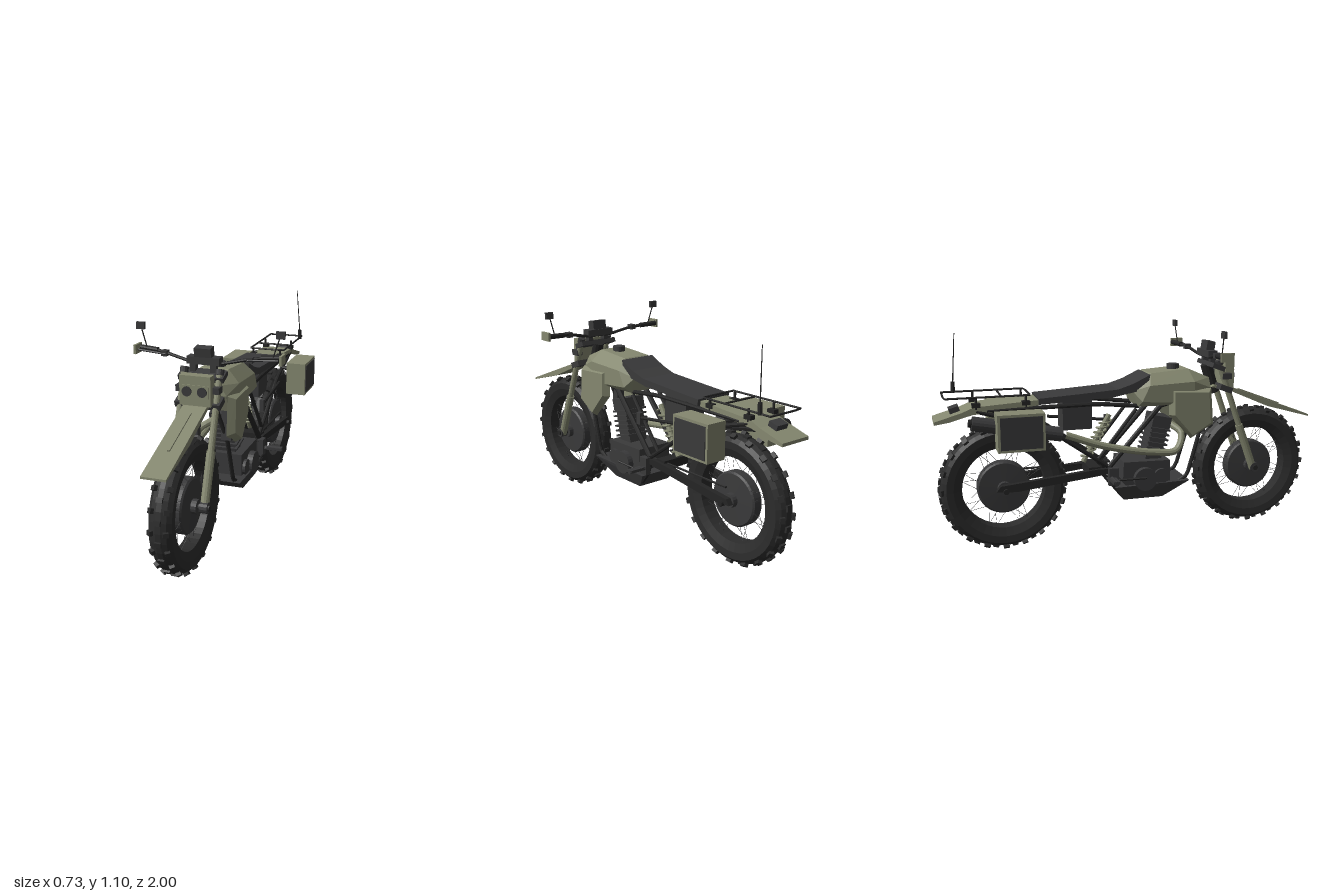
import * as THREE from 'three';
import { ConvexGeometry } from 'three/addons/geometries/ConvexGeometry.js';

const mat = (color) => new THREE.MeshStandardMaterial({ color, flatShading: true });
const olive = mat(0x858870), dark = mat(0x3a3a3b), black = mat(0x252525), rubber = mat(0x2c2c2c);
const V = (p) => new THREE.Vector3(...p);

export function createModel() {
  const model = new THREE.Group();
  model.name = 'motorcycle';

  const add = (name, geo, m, parent = model) => {
    const mesh = new THREE.Mesh(geo, m);
    mesh.name = name;
    parent.add(mesh);
    return mesh;
  };
  const box = (name, size, pos, m, tilt = 0, parent = model) => {
    const b = add(name, new THREE.BoxGeometry(...size), m, parent);
    b.position.set(...pos);
    b.rotation.x = tilt;
    return b;
  };
  // straight round bar between two points, optionally tapered
  const rod = (name, a, b, r, m, sides = 8, r2 = r, parent = model) => {
    const p = V(a), q = V(b), d = q.clone().sub(p);
    const c = add(name, new THREE.CylinderGeometry(r2, r, d.length(), sides), m, parent);
    c.position.copy(p).lerp(q, 0.5);
    c.quaternion.setFromUnitVectors(new THREE.Vector3(0, 1, 0), d.normalize());
    return c;
  };
  // chain of bars through a list of points
  const pipe = (name, pts, r, m) => {
    const path = new THREE.CurvePath();
    pts.slice(1).forEach((p, i) => path.add(new THREE.LineCurve3(V(pts[i]), V(p))));
    return add(name, new THREE.TubeGeometry(path, (pts.length - 1) * 6, r, 8), m);
  };
  // side outline given as [z, y], spread from x0 to x1
  const slab = (name, outline, x0, x1, m) => {
    const g = new THREE.ExtrudeGeometry(new THREE.Shape(outline.map((p) => new THREE.Vector2(...p))),
      { depth: x1 - x0, bevelEnabled: false });
    g.rotateY(-Math.PI / 2).translate(x1, 0, 0);
    return add(name, g, m);
  };
  // convex body from [half width, y, z] points mirrored in x
  const hull = (name, pts, m) =>
    add(name, new ConvexGeometry(pts.flatMap(([x, y, z]) => [V([x, y, z]), V([-x, y, z])])), m);
  const bothSides = (fn) => [1, -1].forEach(fn);

  // Wheels: tyre, knobs, rim, spokes, hub disc
  function wheel(name, y, z, knobs, knobSize) {
    const w = new THREE.Group();
    w.name = name;
    w.position.set(0, y, z);
    const half = [[0.208, -0.036], [0.25, -0.052], [0.285, -0.054], [0.303, -0.036], [0.312, -0.012]];
    const loop = [...half, ...half.map(([r, x]) => [r, -x]).reverse(), half[0]];
    const lathe = (part, pts, m) => add(part, new THREE.LatheGeometry(
      pts.map((p) => new THREE.Vector2(...p)), 40).rotateZ(Math.PI / 2), m, w);
    lathe('tyre', loop, rubber);
    lathe('hubDisc', [[0.0, -0.035], [0.125, -0.03], [0.133, -0.022], [0.133, 0.022], [0.125, 0.03], [0, 0.035]], dark);
    rod('hub', [-0.06, 0, 0], [0.06, 0, 0], 0.035, dark, 16, 0.035, w);
    rod('axle', [-0.115, 0, 0], [0.115, 0, 0], 0.014, black, 10, 0.014, w);
    for (let i = 0; i < knobs; i++) {
      const row = new THREE.Group();
      row.name = 'treadRow';
      row.rotation.x = (i / knobs) * Math.PI * 2;
      w.add(row);
      if (i % 2) box('centreKnob', [0.03, 0.018, knobSize], [0, 0.312, 0], rubber, 0, row);
      else bothSides((s) => {
        box('sideKnob', [0.024, 0.018, knobSize], [s * 0.036, 0.308, 0], rubber, 0, row).rotation.z = -s * 0.6;
      });
    }
    for (let i = 0; i < 32; i++) {
      const a = (i / 32) * Math.PI * 2, b = a + (i % 4 < 2 ? 0.2 : -0.2), s = i % 2 ? 0.025 : -0.025;
      rod('spoke', [s, 0.128 * Math.cos(a), 0.128 * Math.sin(a)],
        [0, 0.212 * Math.cos(b), 0.212 * Math.sin(b)], 0.0009, dark, 4, 0.0009, w);
    }
    model.add(w);
  }
  wheel('frontWheel', 0.342, 0.665, 40, 0.022);
  wheel('rearWheel', 0.325, -0.674, 40, 0.028);

  // Front fork, clamps and head
  bothSides((s) => {
    const x = s * 0.087;
    rod('forkTube', [x, 0.92, 0.447], [x, 0.52, 0.592], 0.016, olive, 12);
    rod('forkSlider', [x, 0.58, 0.57], [x, 0.335, 0.66], 0.021, olive, 12);
    rod('forkCap', [x, 0.93, 0.444], [x, 0.905, 0.453], 0.02, dark, 12);
    rod('axleClamp', [s * 0.07, 0.342, 0.665], [s * 0.108, 0.342, 0.665], 0.026, dark, 12);
    box('barRiser', [0.028, 0.05, 0.03], [s * 0.05, 0.925, 0.425], dark);
  });
  box('upperClamp', [0.22, 0.025, 0.07], [0, 0.895, 0.44], dark, 0.35);
  box('lowerClamp', [0.22, 0.03, 0.07], [0, 0.78, 0.485], dark, 0.35);
  rod('steeringHead', [0, 0.9, 0.41], [0, 0.75, 0.46], 0.03, black, 12);

  // Front fender: thin arched blade with shallow skirts
  slab('frontFender', [[1, 0.605], [0.545, 0.775], [0.44, 0.795], [0.42, 0.785], [0.53, 0.76], [0.75, 0.665], [1, 0.595]],
    -0.058, 0.058, olive);
  box('fenderRib', [0.012, 0.008, 0.26], [0, 0.712, 0.72], olive, 0.357);

  // Headlight unit
  box('headlightPanel', [0.15, 0.14, 0.05], [0, 0.845, 0.515], olive);
  box('headlightRecess', [0.135, 0.06, 0.006], [0, 0.843, 0.541], olive);
  bothSides((s) => {
    rod('lamp', [s * 0.037, 0.843, 0.53], [s * 0.037, 0.843, 0.55], 0.023, dark, 20);
    box('lampBracket', [0.035, 0.03, 0.05], [s * 0.088, 0.845, 0.49], dark);
  });

  // Handlebar, controls, mirrors, instruments
  const bar = [[0, 0.945, 0.4], [0.08, 0.945, 0.4], [0.19, 0.968, 0.385], [0.27, 0.977, 0.36], [0.355, 0.979, 0.35]];
  bothSides((s) => {
    const at = ([x, y, z]) => [s * x, y, z];
    pipe('handlebar', bar.map(at), 0.008, black);
    rod('grip', at([0.255, 0.976, 0.365]), at([0.352, 0.98, 0.35]), 0.013, black, 10);
    rod('lever', at([0.2, 0.968, 0.4]), at([0.345, 0.978, 0.395]), 0.005, dark, 6);
    box('leverMount', [0.03, 0.026, 0.035], at([0.21, 0.97, 0.385]), dark);
    box('barEndGuard', [0.012, 0.044, 0.068], at([0.357, 0.979, 0.375]), olive);
    rod('mirrorStem', at([0.312, 0.985, 0.365]), at([0.342, 1.08, 0.36]), 0.003, black, 6);
    box('mirror', [0.042, 0.034, 0.014], at([0.344, 1.087, 0.36]), dark);
  });
  box('instrumentBase', [0.16, 0.035, 0.05], [0, 0.96, 0.415], dark);
  box('instrument', [0.082, 0.055, 0.045], [0, 0.995, 0.42], dark, 0.15);

  // Fuel tank and side shrouds
  hull('fuelTank', [[0.07, 0.84, 0.4], [0.07, 0.89, 0.285], [0.075, 0.875, 0.08], [0.09, 0.79, -0.02], [0.09, 0.71, 0.01],
    [0.1, 0.71, 0.37], [0.1, 0.79, 0.4], [0.128, 0.83, 0.3], [0.128, 0.82, 0.06], [0.128, 0.74, 0.02], [0.128, 0.72, 0.3]], olive);
  rod('fuelCap', [0, 0.875, 0.225], [0, 0.91, 0.225], 0.032, dark, 20);
  bothSides((s) => {
    const edge = [[0.4, 0.79], [0.17, 0.8], [0.17, 0.66], [0.29, 0.53], [0.415, 0.6]];
    const pts = edge.flatMap(([z, y]) => [V([s * 0.105, y, z]),
      V([s * 0.14, y + (0.68 - y) * 0.15, z + (0.28 - z) * 0.2])]);
    add('tankShroud', new ConvexGeometry(pts), olive);
    box('radiator', [0.05, 0.18, 0.04], [s * 0.085, 0.65, 0.34], dark, -0.1);
  });

  // Seat
  slab('seat', [[0.07, 0.872], [-0.02, 0.83], [-0.1, 0.805], [-0.3, 0.792], [-0.5, 0.78], [-0.5, 0.75], [-0.12, 0.768],
    [0.0, 0.79], [0.06, 0.83]], -0.1, 0.1, dark);

  // Rear fender and lamp
  slab('rearFender', [[-0.48, 0.772], [-0.81, 0.752], [-0.87, 0.728], [-1, 0.69], [-1, 0.675], [-0.93, 0.685],
    [-0.82, 0.715], [-0.5, 0.745]], -0.084, 0.084, olive);
  box('rearLamp', [0.07, 0.025, 0.05], [0, 0.735, -0.9], dark, -0.3);

  // Luggage rack
  const rackY = 0.8;
  pipe('rackFrame', [[-0.09, rackY, -0.54], [-0.09, rackY, -0.95], [0.108, rackY, -0.95], [0.108, rackY, -0.54],
    [-0.09, rackY, -0.54]], 0.005, black);
  rod('rackBar', [-0.09, rackY, -0.68], [0.108, rackY, -0.68], 0.005, black);
  bothSides((s) => [-0.56, -0.8].forEach((z) => {
    rod('rackLeg', [s * 0.08, 0.74, z], [s * 0.08, rackY, z], 0.006, black);
    box('rackFoot', [0.03, 0.02, 0.04], [s * 0.075, 0.76, z], black);
  }));
  rod('antennaBase', [0.11, 0.795, -0.892], [0.109, 0.85, -0.89], 0.01, black);
  rod('antenna', [0.109, 0.85, -0.89], [0.092, 1.09, -0.873], 0.003, black, 6, 0.002);

  // Panniers with dark outer panels
  bothSides((s) => {
    box('pannier', [0.108, 0.18, 0.225], [s * 0.193, 0.648, -0.61], olive);
    box('pannierPanel', [0.006, 0.155, 0.2], [s * 0.248, 0.648, -0.61], dark);
    rod('pannierMount', [s * 0.07, 0.68, -0.61], [s * 0.14, 0.68, -0.61], 0.012, black);
  });

  // Frame tubes and swingarm
  bothSides((s) => {
    const tube = (name, pts, r) => pipe(name, pts.map(([x, y, z]) => [s * x, y, z]), r, black);
    tube('cradle', [[0.03, 0.78, 0.4], [0.085, 0.55, 0.345], [0.09, 0.33, 0.28], [0.085, 0.24, 0.14],
      [0.085, 0.24, -0.07], [0.09, 0.33, -0.14]], 0.011);
    tube('mainFrame', [[0.05, 0.76, 0.36], [0.085, 0.71, 0.13], [0.09, 0.4, -0.15], [0.09, 0.33, -0.13]], 0.014);
    tube('rearFrameStrut', [[0.085, 0.4, -0.14], [0.085, 0.64, -0.48], [0.075, 0.73, -0.8]], 0.011);
    tube('seatRail', [[0.07, 0.71, 0.02], [0.08, 0.735, -0.2], [0.075, 0.73, -0.75]], 0.011);
    tube('frameBrace', [[0.085, 0.7, 0.0], [0.085, 0.45, -0.2]], 0.01);
    slab('swingarm', [[-0.1, 0.395], [-0.2, 0.4], [-0.7, 0.352], [-0.72, 0.325], [-0.62, 0.318], [-0.16, 0.37]],
      s * 0.087 - 0.014, s * 0.087 + 0.014, black);
    rod('footPeg', [s * 0.09, 0.352, -0.14], [s * 0.222, 0.352, -0.14], 0.012, dark);
    box('footPegPad', [0.08, 0.014, 0.035], [s * 0.18, 0.355, -0.14], dark);
    box('pegBracket', [0.03, 0.09, 0.05], [s * 0.11, 0.36, -0.13], dark);
  });
  box('swingarmBridge', [0.17, 0.045, 0.06], [0, 0.385, -0.22], black);

  // Rear shock absorber with coil spring
  const shockA = new THREE.Vector3(0, 0.66, -0.12), shockB = new THREE.Vector3(0, 0.42, -0.26);
  rod('shock', shockA.toArray(), shockB.toArray(), 0.014, olive, 10);
  const coil = Array.from({ length: 73 }, (_, i) => shockA.clone().lerp(shockB, 0.1 + 0.8 * i / 72)
    .add(new THREE.Vector3(Math.cos(i * 0.7) * 0.028, 0, Math.sin(i * 0.7) * 0.028)));
  add('shockSpring', new THREE.TubeGeometry(new THREE.CatmullRomCurve3(coil), 144, 0.005, 5), olive);

  // Engine, cylinder, covers and skid plate
  slab('engineCase', [[0.18, 0.42], [-0.07, 0.425], [-0.075, 0.33], [-0.03, 0.25], [0.18, 0.265]], -0.1, 0.1, dark);
  hull('skidPlate', [[0.125, 0.31, 0.28], [0.095, 0.225, 0.14], [0.095, 0.225, -0.07], [0.12, 0.3, -0.12],
    [0.12, 0.29, 0.14]], dark);
  bothSides((s) => {
    rod('engineCover', [s * 0.09, 0.333, 0.04], [s * 0.13, 0.333, 0.04], 0.06, dark, 24);
    rod('coverCap', [s * 0.09, 0.34, 0.13], [s * 0.115, 0.34, 0.13], 0.04, dark, 16);
  });
  const lean = 0.22;
  box('engineBarrel', [0.11, 0.24, 0.085], [0, 0.52, 0.125], dark, lean);
  for (let i = 0; i < 6; i++) {
    const d = -0.07 + i * 0.026;
    box('coolingFin', [0.14, 0.009, 0.11], [0, 0.52 + d * Math.cos(lean), 0.125 + d * Math.sin(lean)], dark, lean);
  }
  box('cylinderHead', [0.13, 0.06, 0.1], [0, 0.615, 0.146], dark, lean);
  box('airBox', [0.12, 0.15, 0.15], [0, 0.68, -0.3], dark);

  // Exhaust on the right side
  const exhaust = [[-0.04, 0.6, 0.2], [-0.1, 0.56, 0.24], [-0.135, 0.48, 0.2], [-0.142, 0.48, 0.08],
    [-0.142, 0.53, -0.18], [-0.138, 0.6, -0.38]].map(V);
  add('exhaustPipe', new THREE.TubeGeometry(new THREE.CatmullRomCurve3(exhaust), 36, 0.018, 10), olive);
  rod('muffler', [-0.138, 0.605, -0.4], [-0.136, 0.685, -0.83], 0.036, dark, 16);
  rod('mufflerTip', [-0.136, 0.683, -0.82], [-0.136, 0.688, -0.845], 0.02, black, 12);

  // Chain, side bar and pedals
  [[0.392, 0.39], [0.352, 0.31]].forEach(([a, b]) =>
    rod('chain', [0.062, a, -0.1], [0.062, b, -0.66], 0.006, black, 6));
  rod('sideBar', [0.12, 0.608, -0.1], [0.12, 0.645, -0.42], 0.008, black);
  box('sideBarBlock', [0.022, 0.06, 0.028], [0.12, 0.605, -0.1], dark);
  rod('pedal', [0.15, 0.345, 0.04], [0.13, 0.33, -0.08], 0.006, black);
  rod('shiftLever', [-0.14, 0.345, 0.04], [-0.12, 0.34, -0.1], 0.006, black);

  return model;
}
